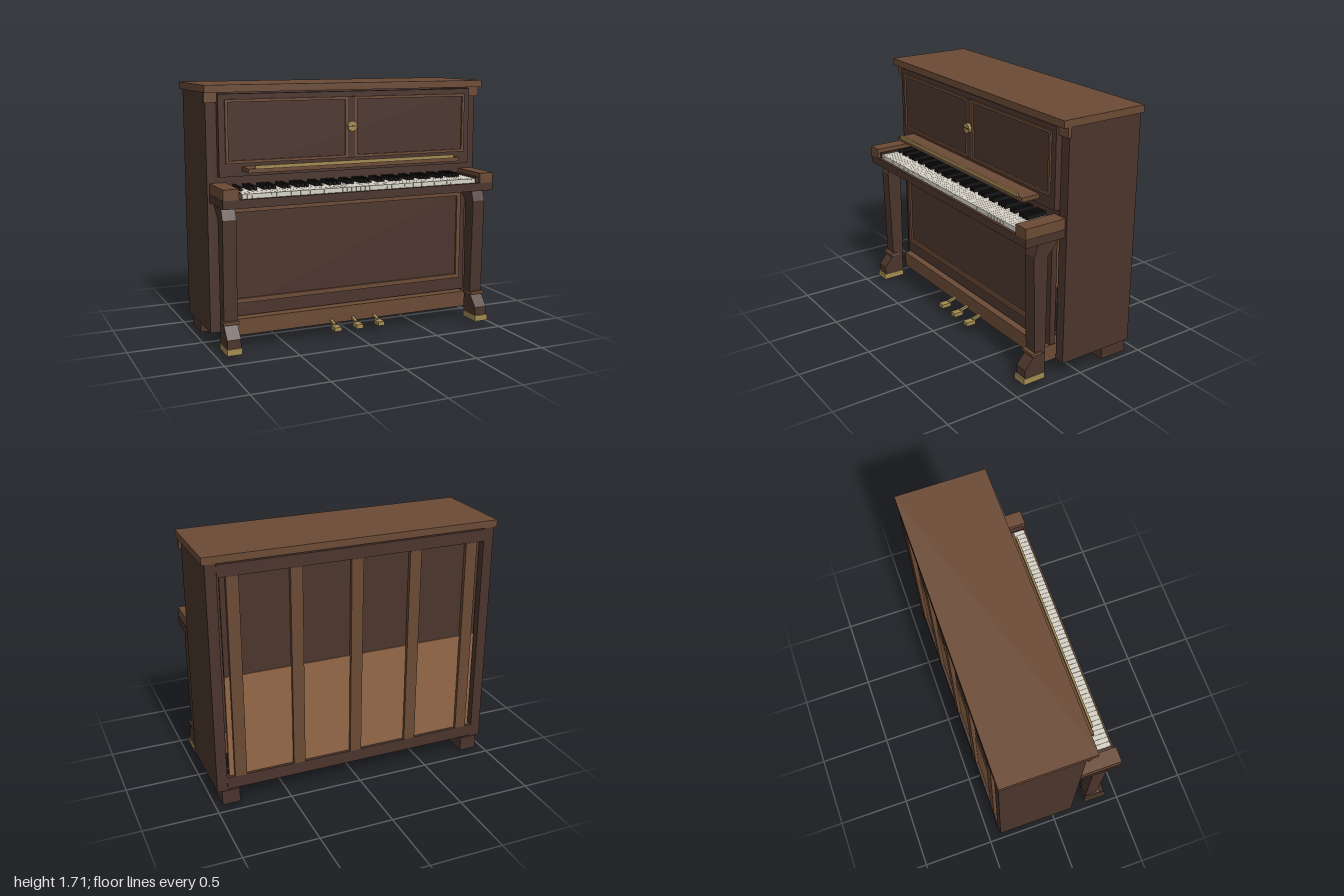
import * as THREE from 'three';

const mat = (color) => new THREE.MeshStandardMaterial({ color });
const dark = mat(0x4a342c), wood = mat(0x6b4a35), spruce = mat(0x946846);
const brass = mat(0xa38a52), ivory = mat(0xd6d2c6), black = mat(0x161616);

export function createModel() {
  const root = new THREE.Group();

  const add = (name, geometry, material) => {
    const mesh = new THREE.Mesh(geometry, material);
    mesh.name = name;
    root.add(mesh);
    return mesh;
  };
  // Box given by its limits on each axis
  const box = (name, m, x0, x1, y0, y1, z0, z1) =>
    add(name, new THREE.BoxGeometry(x1 - x0, y1 - y0, z1 - z0), m)
      .position.set((x0 + x1) / 2, (y0 + y1) / 2, (z0 + z1) / 2);
  // The same box on the left and on the right
  const pair = (name, m, x0, x1, ...rest) => {
    box(name + 'Left', m, x0, x1, ...rest);
    box(name + 'Right', m, -x1, -x0, ...rest);
  };
  const rectPath = (path, x0, x1, y0, y1) => {
    path.moveTo(x0, y0);
    path.lineTo(x1, y0);
    path.lineTo(x1, y1);
    path.lineTo(x0, y1);
    path.closePath();
    return path;
  };
  // Rectangular moulding with an open middle
  const frame = (name, x0, x1, y0, y1, w) => {
    const shape = rectPath(new THREE.Shape(), x0, x1, y0, y1);
    shape.holes.push(rectPath(new THREE.Path(), x0 + w, x1 - w, y0 + w, y1 - w));
    add(name, new THREE.ExtrudeGeometry(shape, { depth: 0.015, bevelEnabled: false }), wood)
      .position.z = 0.172;
  };
  // Side profile of [z, y] points extruded across x
  const profile = (name, m, points, x0, x1) => {
    const shape = new THREE.Shape(points.map(([z, y]) => new THREE.Vector2(-z, y)));
    const g = new THREE.ExtrudeGeometry(shape, { depth: x1 - x0, bevelEnabled: false });
    g.rotateY(Math.PI / 2);
    add(name, g, m).position.x = x0;
  };

  // Case
  box('lid', wood, -1, 1, 1.664, 1.711, -0.422, 0.192);
  pair('caseSide', dark, 0.91, 0.98, 0.105, 1.664, -0.416, 0.133);
  pair('lidCorbel', wood, 0.91, 0.995, 1.6, 1.664, 0.133, 0.157);
  pair('rearFoot', dark, 0.83, 0.95, 0.004, 0.105, -0.42, -0.22);

  // Upper front with two framed panels
  box('upperPanel', dark, -0.91, 0.91, 1.13, 1.654, 0.133, 0.175);
  frame('upperTrimRight', -0.868, -0.025, 1.215, 1.62, 0.018);
  frame('upperTrimLeft', 0.025, 0.868, 1.215, 1.62, 0.018);
  box('centreStile', dark, -0.025, 0.025, 1.215, 1.62, 0.172, 0.187);
  const knob = add('knob', new THREE.CylinderGeometry(0.034, 0.034, 0.02, 24), brass);
  knob.rotation.x = Math.PI / 2;
  knob.position.set(0, 1.425, 0.197);
  box('knobSlot', dark, -0.03, 0.03, 1.422, 1.428, 0.2, 0.21);

  // Music shelf
  box('musicShelf', wood, -0.76, 0.76, 1.165, 1.193, 0.17, 0.303);
  box('musicShelfLip', brass, -0.715, 0.715, 1.19, 1.213, 0.298, 0.312);

  // Key bed, cheeks and fallboard
  box('keyBed', dark, -0.965, 0.965, 0.967, 1.022, 0.133, 0.423);
  pair('keyCheek', wood, 0.86, 0.963, 1.022, 1.09, 0.133, 0.423);
  pair('keyBlock', dark, 0.838, 0.86, 1.022, 1.062, 0.133, 0.405);
  box('fallboard', dark, -0.91, 0.91, 1.022, 1.14, 0.1, 0.135);

  // Keyboard: 52 white keys, black keys in groups of two and three
  const pitch = 1.67 / 52;
  for (let i = 0; i < 52; i++) {
    const x = -0.835 + i * pitch;
    box('whiteKey', ivory, x + 0.0007, x + pitch - 0.0007, 1.022, 1.052, 0.135, 0.403);
    if (i < 51 && [0, 2, 3, 5, 6].includes(i % 7))
      box('blackKey', black, x + pitch - 0.009, x + pitch + 0.009, 1.05, 1.078, 0.135, 0.28);
  }

  // Lower front
  box('lowerPanel', dark, -0.895, 0.895, 0.212, 0.967, 0.133, 0.174);
  frame('lowerTrim', -0.855, 0.855, 0.3, 0.93, 0.03);
  box('toeRail', wood, -0.885, 0.885, 0.093, 0.202, 0.05, 0.213);

  // Front legs
  for (const s of [1, -1]) {
    const side = s > 0 ? 'Left' : 'Right';
    const span = (a, b) => (s > 0 ? [a, b] : [-b, -a]);
    profile('frontLeg' + side, dark, [
      [0.25, 0.2], [0.332, 0.2], [0.349, 0.885], [0.317, 0.967],
      [0.165, 0.967], [0.172, 0.95], [0.245, 0.87],
    ], ...span(0.858, 0.948));
    profile('legFoot' + side, dark, [
      [0.253, 0.075], [0.405, 0.075], [0.405, 0.132], [0.333, 0.215], [0.253, 0.215],
    ], ...span(0.86, 0.95));
    box('legCollar' + side, wood, ...span(0.853, 0.957), 0.214, 0.234, 0.285, 0.357);
    box('legShoe' + side, brass, ...span(0.855, 0.955), 0.034, 0.075, 0.255, 0.415);
  }

  // Pedals
  for (const x of [-0.16, 0, 0.16]) {
    box('pedal', brass, x - 0.024, x + 0.024, 0.07, 0.097, 0.265, 0.335);
    profile('pedalArm', brass, [
      [0.2, 0.107], [0.275, 0.087], [0.275, 0.105], [0.2, 0.125],
    ], x - 0.009, x + 0.009);
  }

  // Back: rails, five shallow posts between them and the boards close behind
  box('backTopRail', dark, -0.91, 0.91, 1.575, 1.655, -0.42, -0.37);
  box('backBottomRail', dark, -0.91, 0.91, 0.115, 0.2, -0.42, -0.37);
  for (let i = -2; i <= 2; i++)
    box('backPost', wood, i * 0.408 - 0.04, i * 0.408 + 0.04, 0.2, 1.575, -0.422, -0.385);
  box('soundboard', spruce, -0.89, 0.89, 0.19, 0.91, -0.4, -0.38);
  box('upperBackBoard', dark, -0.89, 0.89, 0.91, 1.6, -0.395, -0.38);

  return root;
}
